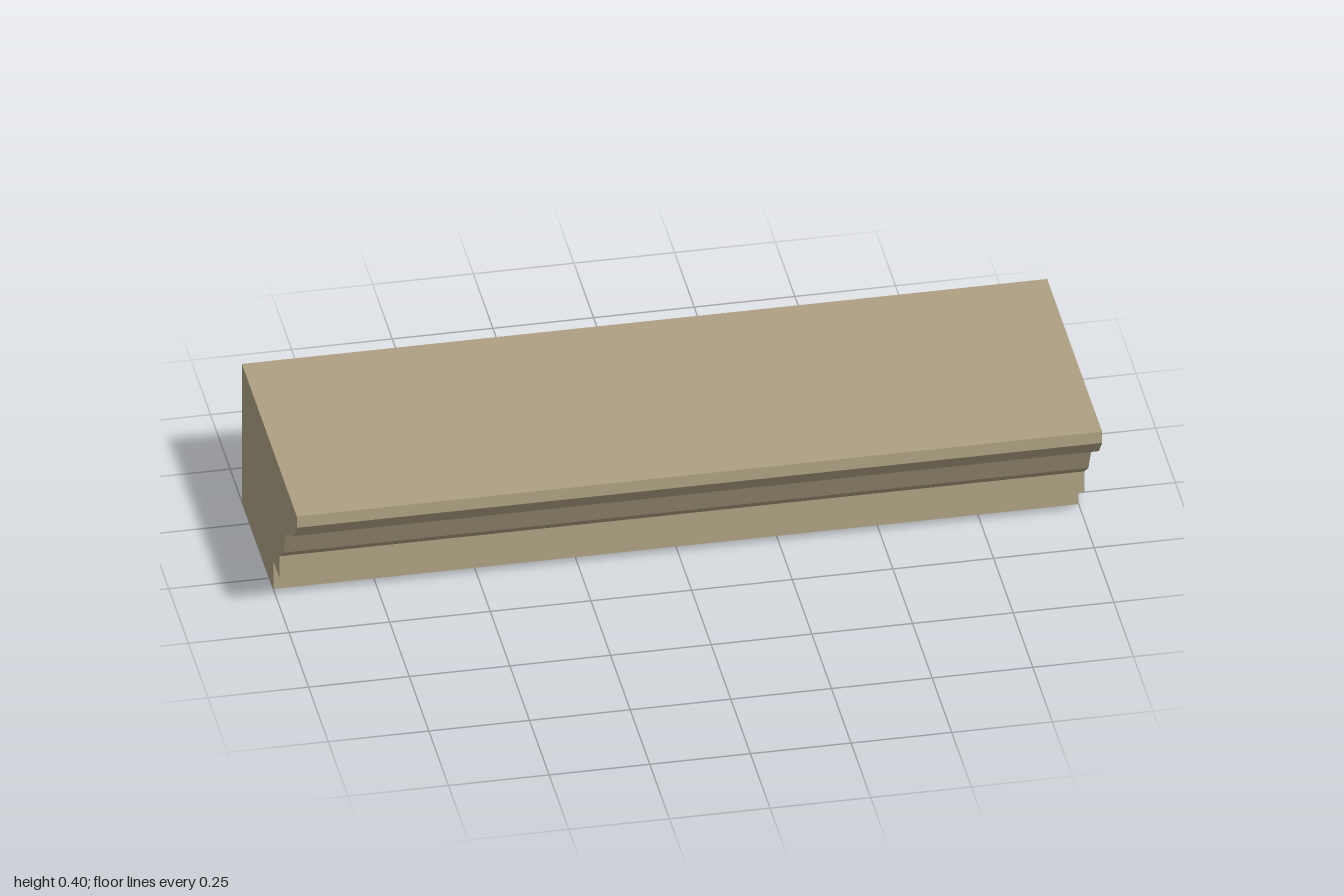
import * as THREE from 'three';

const LENGTH = 2;

// Cornice cross-section as [z, y], from the top front edge down and round the back
const PROFILE = [
  [0.35, 0.4], [0.35, 0.367],       // top fillet
  [0.31, 0.318], [0.217, 0.265],    // upper faceted curve
  [0.176, 0.185], [0.126, 0.143],   // lower faceted curve
  [0.126, 0.082], [0.05, 0.082],    // lower fillet and its soffit
  [0.05, 0], [-0.35, 0], [-0.35, 0.4], // base and back
];

export function createModel() {
  const stone = new THREE.MeshStandardMaterial({ color: 0xada082 });
  stone.name = 'sandstone';

  // Extrude along z, then turn the length onto x (shape x becomes -z)
  const shape = new THREE.Shape(PROFILE.map(([z, y]) => new THREE.Vector2(-z, y)));
  const geometry = new THREE.ExtrudeGeometry(shape, { depth: LENGTH, bevelEnabled: false });
  geometry.translate(0, 0, -LENGTH / 2).rotateY(Math.PI / 2);

  const cornice = new THREE.Mesh(geometry, stone);
  cornice.name = 'corniceMoulding';

  const group = new THREE.Group();
  group.name = 'cornice';
  group.add(cornice);
  return group;
}
